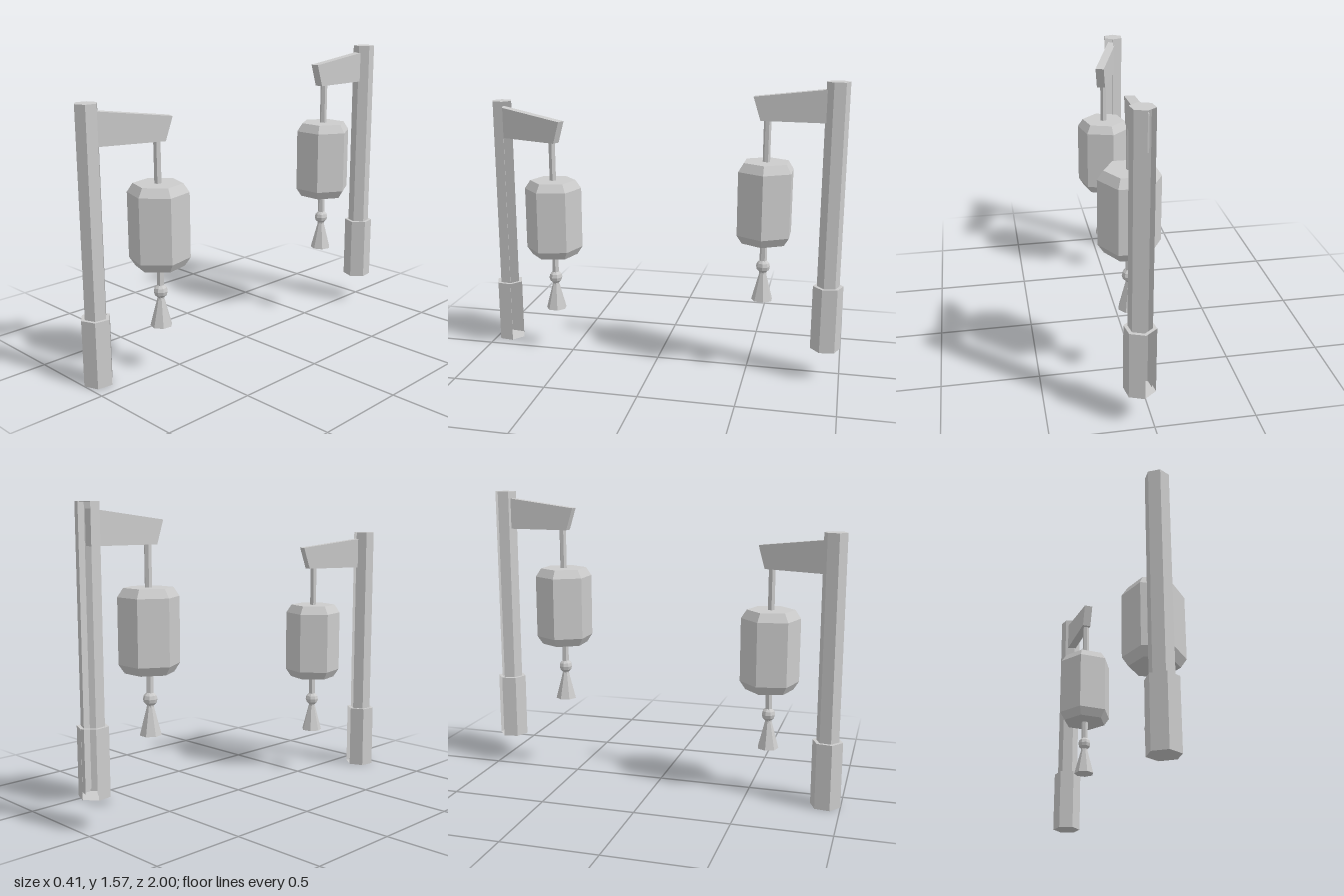
import * as THREE from 'three';

const DEG = Math.PI / 180;
const material = new THREE.MeshStandardMaterial({ color: 0xcccccc, flatShading: true });
const openMaterial = new THREE.MeshStandardMaterial({ color: 0xcccccc, flatShading: true, side: THREE.DoubleSide });

function add(parent, name, geometry, x, y, z, mat = material) {
  const mesh = new THREE.Mesh(geometry, mat);
  mesh.name = name;
  mesh.position.set(x, y, z);
  parent.add(mesh);
  return mesh;
}

// Six-sided tube with the one panel facing openAngle left out
function openPrism(radius, height, openAngle) {
  return new THREE.CylinderGeometry(radius, radius, height, 5, 1, true, (openAngle + 30) * DEG, 300 * DEG)
    .toNonIndexed();
}

// Same tube, with one panel per sixth of the turn
function hexWalls(radius, height, openAngle) {
  return new THREE.CylinderGeometry(radius, radius, height, 5, 1, true, (openAngle + 30) * DEG, 300 * DEG);
}

// Flat six-sided plate lying in the xz plane, corners matching the tube
function hexPlate(inner, outer, openAngle) {
  const g = inner > 0
    ? new THREE.RingGeometry(inner, outer, 6, 1)
    : new THREE.CircleGeometry(outer, 6);
  return g.rotateX(-Math.PI / 2).rotateY((openAngle + 30 - 90) * DEG);
}

function lanternPost(openAngle) {
  const post = new THREE.Group();
  const px = 0.013, pz = -0.343;

  // Post and its foot, each open on one panel
  add(post, 'pole', hexWalls(0.059, 1.385, openAngle), px, 0.7125, pz, openMaterial);
  add(post, 'poleCap', hexPlate(0, 0.059, openAngle), px, 1.405, pz, openMaterial);
  add(post, 'foot', hexWalls(0.079, 0.348, openAngle), px, 0.174, pz, openMaterial);
  add(post, 'footRim', hexPlate(0.059, 0.079, openAngle), px, 0.348, pz, openMaterial);
  add(post, 'footBottom', hexPlate(0, 0.079, openAngle), px, 0.002, pz, openMaterial);

  // Tapering arm, drawn from the side (x = distance from the pole)
  const profile = new THREE.Shape([
    [0, 1.2], [0.378, 1.2], [0.416, 1.32], [0, 1.372],
  ].map(([x, y]) => new THREE.Vector2(x, y)));
  const armGeometry = new THREE.ExtrudeGeometry(profile, { depth: 0.048, bevelEnabled: false });
  armGeometry.translate(0, 0, -0.024);
  const arm = add(post, 'arm', armGeometry, px - 0.005, 0, pz);
  arm.rotation.y = -Math.PI / 2 - 2.5 * DEG;

  // Hanging rod
  add(post, 'hangingRod', new THREE.CylinderGeometry(0.019, 0.019, 0.9, 6), 0, 0.84, 0);

  // Lantern body with chamfered ends
  const body = [[0, 0.565], [0.125, 0.565], [0.155, 0.61], [0.155, 0.945], [0.125, 0.99], [0, 0.99]];
  const bodyGeometry = new THREE.LatheGeometry(body.map(([r, y]) => new THREE.Vector2(r, y)), 6, 30 * DEG);
  add(post, 'lanternBody', bodyGeometry, 0, 0, 0);

  // Bead and tassel
  add(post, 'bead', new THREE.SphereGeometry(0.037, 8, 6), 0, 0.43, 0);
  add(post, 'tassel', new THREE.CylinderGeometry(0.016, 0.057, 0.155, 7), 0, 0.3225, 0);
  return post;
}

export function createModel() {
  const model = new THREE.Group();
  model.name = 'hangingLanterns';

  const front = lanternPost(-21);
  front.name = 'frontLantern';
  front.position.set(-0.02, 0, 0.597);
  front.rotation.y = 163 * DEG;

  const back = lanternPost(-141);
  back.name = 'backLantern';
  back.position.set(0.047, 0.167, -0.578);

  model.add(front, back);
  return model;
}
